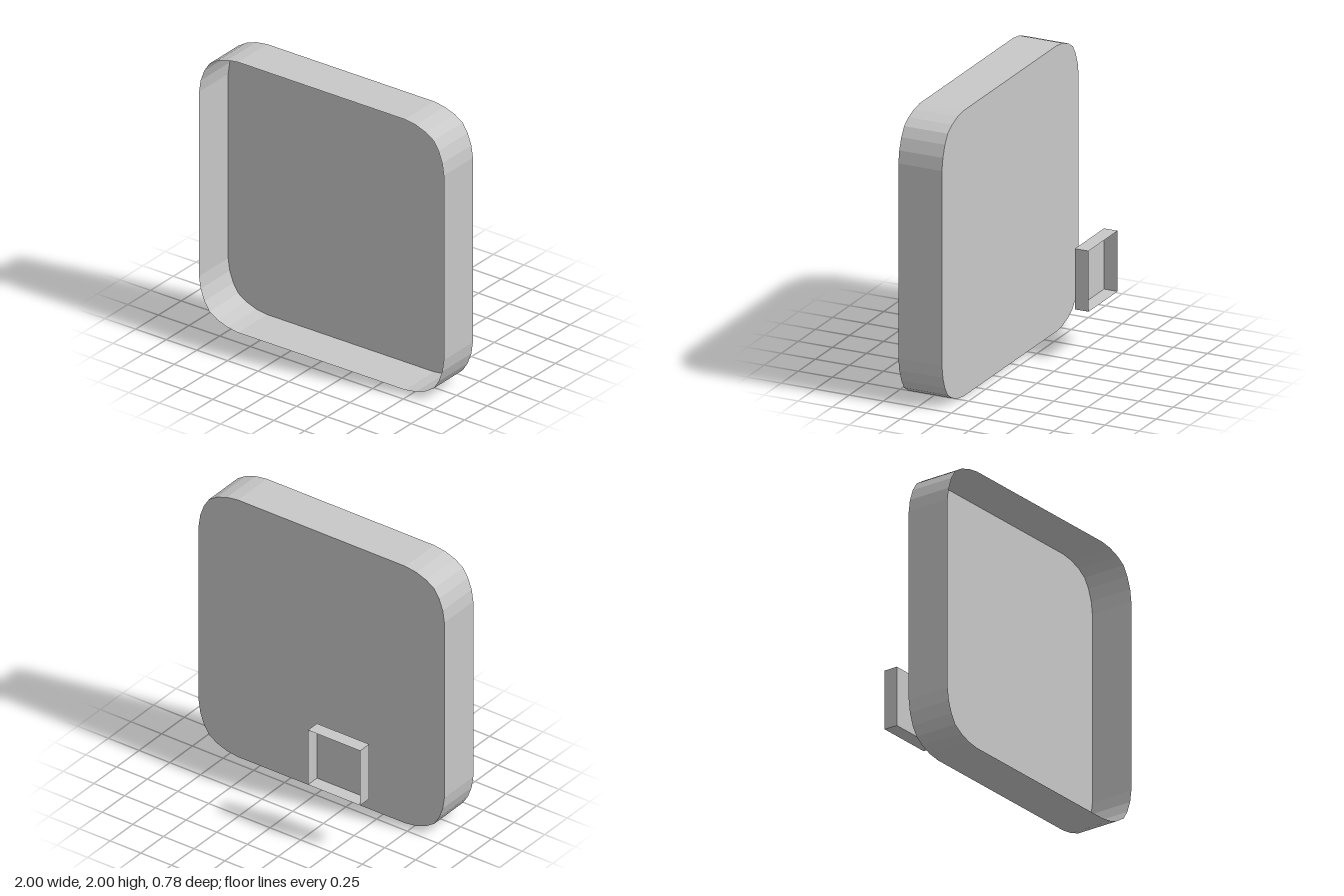
import * as THREE from 'three';

const grey = new THREE.MeshStandardMaterial({ color: 0xc8c8c8, side: THREE.DoubleSide });
grey.name = 'plain grey';

// Corner insets from the bounding square, one faceted quarter turn
const CORNER = [
  [0, 0.318], [0.013, 0.23], [0.043, 0.148], [0.084, 0.084],
  [0.148, 0.043], [0.23, 0.013], [0.318, 0],
];

// Counter-clockwise outline of a square made by turning one corner four times
function outline(half, corner) {
  const points = [];
  for (let k = 0; k < 4; k++) {
    for (const [dx, dy] of corner) {
      const p = new THREE.Vector2(half - dx, half - dy);
      points.push(p.rotateAround(new THREE.Vector2(), k * Math.PI / 2));
    }
  }
  return points;
}

// Thin faceted wall following an outline from z0 to z1
function wallGeometry(points, z0, z1) {
  const pos = [];
  points.forEach((a, i) => {
    const b = points[(i + 1) % points.length];
    pos.push(a.x, a.y, z0, b.x, b.y, z0, b.x, b.y, z1);
    pos.push(a.x, a.y, z0, b.x, b.y, z1, a.x, a.y, z1);
  });
  const g = new THREE.BufferGeometry();
  g.setAttribute('position', new THREE.Float32BufferAttribute(pos, 3));
  g.computeVertexNormals();
  return g;
}

// Open tray: a flat panel at panelZ and a rim reaching to rimZ
function tray(name, points, panelZ, rimZ) {
  const group = new THREE.Group();
  group.name = name;
  const panel = new THREE.Mesh(new THREE.ShapeGeometry(new THREE.Shape(points)), grey);
  panel.name = name + 'Panel';
  panel.position.z = panelZ;
  const rim = new THREE.Mesh(
    wallGeometry(points, Math.min(panelZ, rimZ), Math.max(panelZ, rimZ)), grey);
  rim.name = name + 'Rim';
  group.add(panel, rim);
  return group;
}

export function createModel() {
  const model = new THREE.Group();
  model.name = 'trays';

  // Large rounded tray, open to the front
  const large = tray('largeTray', outline(1, CORNER), 0.07, 0.39);
  large.position.y = 1;

  // Small square tray behind it, open to the back
  const small = tray('smallTray', outline(0.2125, [[0, 0]]), -0.29, -0.39);
  small.position.set(-0.44, 0.577, 0);

  model.add(large, small);
  return model;
}
